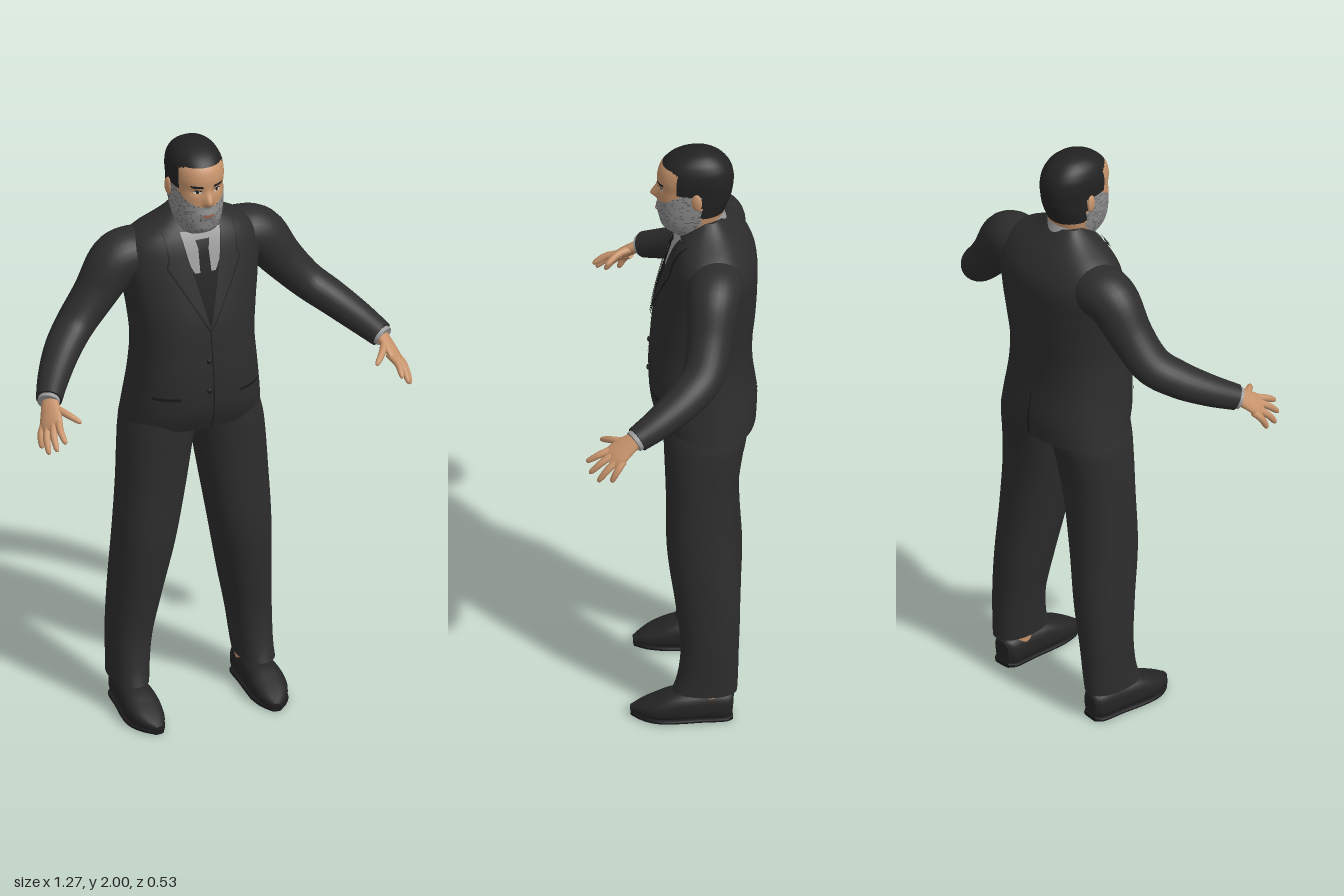
import * as THREE from 'three';

const paint = (name, color, side = THREE.FrontSide) => {
  const m = new THREE.MeshStandardMaterial({ color, side });
  m.name = name;
  return m;
};
const M = {
  suit: paint('suit cloth', 0x2d2d2e),
  dark: paint('dark trim', 0x1b1b1d),
  shoe: paint('shoe leather', 0x252526),
  hair: paint('hair', 0x222223),
  skin: paint('skin', 0xc8946c),
  beard: paint('grey beard', 0x8e8e8e),
  fleck: paint('beard flecks', 0x6c6c6c),
  shirt: paint('shirt', 0x9b9b9b, THREE.DoubleSide),
  eye: paint('eye white', 0xd8d4cc),
  lip: paint('lips', 0x9c6650),
};

// Smooth interpolation of table rows; the first column of each row is the parameter
const spline = rows => {
  const s = new THREE.CubicInterpolant(rows.map(r => r[0]), rows.flatMap(r => r.slice(1)), rows[0].length - 1);
  return t => Array.from(s.evaluate(t));
};

const sp = (v, n) => Math.sign(v) * Math.abs(v) ** (2 / n);

// Superelliptic ring around centre c with half axes u and v
function ring(c, u, v, n, count) {
  return Array.from({ length: count }, (_, j) => {
    const a = j / count * Math.PI * 2;
    return c.clone().addScaledVector(u, sp(Math.cos(a), n)).addScaledVector(v, sp(Math.sin(a), n));
  });
}

// Skin over a row of rings, with closed ends
function loft(rings, capped = true) {
  const N = rings[0].length;
  if (capped) {
    const mid = r => {
      const c = r.reduce((s, p) => s.add(p), new THREE.Vector3()).divideScalar(N);
      return r.map(() => c);
    };
    const a = rings[0], b = rings[rings.length - 1];
    rings = [mid(a), a, ...rings, b, mid(b)];
  }
  const index = [];
  for (let i = 0; i < rings.length - 1; i++) for (let j = 0; j < N; j++) {
    const a = i * N + j, b = i * N + (j + 1) % N;
    index.push(a, a + N, b, b, a + N, b + N);
  }
  const g = new THREE.BufferGeometry().setFromPoints(rings.flat());
  g.setIndex(index);
  g.computeVertexNormals();
  return g;
}

// Upright body from rows of y, xMin, xMax, zBack, zFront
function upright(rows, n, steps, count, bend) {
  const f = spline(rows), y0 = rows[0][0], y1 = rows[rows.length - 1][0];
  return loft(Array.from({ length: steps + 1 }, (_, i) => {
    const y = y0 + (y1 - y0) * i / steps, [xa, xb, za, zb] = f(y);
    const r = ring(new THREE.Vector3((xa + xb) / 2, y, (za + zb) / 2),
      new THREE.Vector3((xb - xa) / 2, 0, 0), new THREE.Vector3(0, 0, (zb - za) / 2), n, count);
    if (bend) r.forEach(p => { if (p.z > (za + zb) / 2) p.z += bend(p.x, p.y); });
    return r;
  }));
}

// Limb along rows of x, y, z, half width along w, half depth
function limb(rows, w, n = 2, steps = 20, count = 20) {
  const f = spline(rows.map((r, i) => [i, ...r])), end = rows.length - 1;
  const at = t => new THREE.Vector3(...f(t).slice(0, 3));
  return loft(Array.from({ length: steps + 1 }, (_, i) => {
    const t = end * i / steps, [, , , a, b] = f(t);
    const dir = at(Math.min(end, t + 0.05)).sub(at(Math.max(0, t - 0.05))).normalize();
    const u = new THREE.Vector3(...w).projectOnPlane(dir).normalize();
    const v = u.clone().cross(dir);
    return ring(at(t), u.multiplyScalar(a), v.multiplyScalar(b), n, count);
  }));
}

// Height of a body's front (dir 1) or back (dir -1) surface
function surface(rows, n, bend = () => 0) {
  const f = spline(rows);
  return (x, y, dir) => {
    const [xa, xb, za, zb] = f(y), t = Math.min(1, Math.abs(2 * x / (xb - xa)));
    return (za + zb) / 2 + dir * (zb - za) / 2 * (1 - t ** n) ** (1 / n) + (dir > 0 ? bend(x, y) : 0);
  };
}

// Thin plate laid on a surface, from rows of y, x0, x1
function panel(surf, rows, lift, dir = 1, cols = 8, steps = 24) {
  const pts = [], index = [], y0 = rows[0][0], y1 = rows[rows.length - 1][0];
  for (let i = 0; i <= steps; i++) {
    const y = y0 + (y1 - y0) * i / steps;
    let k = 0;
    while (k < rows.length - 2 && y > rows[k + 1][0]) k++;
    const t = (y - rows[k][0]) / (rows[k + 1][0] - rows[k][0]);
    const e = [1, 2].map(c => rows[k][c] + (rows[k + 1][c] - rows[k][c]) * t).sort((a, b) => (a - b) * dir);
    for (let j = 0; j <= cols; j++) {
      const x = e[0] + (e[1] - e[0]) * j / cols;
      pts.push(new THREE.Vector3(x, y, surf(x, y, dir) + dir * lift));
      if (i < steps && j < cols) {
        const a = i * (cols + 1) + j, c = a + cols + 1;
        index.push(a, a + 1, c, a + 1, c + 1, c);
      }
    }
  }
  const g = new THREE.BufferGeometry().setFromPoints(pts);
  g.setIndex(index);
  g.computeVertexNormals();
  return g;
}

export function createModel() {
  const model = new THREE.Group();
  model.name = 'man in suit';
  const add = (name, g, mat) => {
    const m = new THREE.Mesh(g, mat);
    m.name = name;
    model.add(m);
  };
  const pair = (name, g, mat) => {
    add('left ' + name, g, mat);
    const r = g.clone().scale(-1, 1, 1), ix = r.index.array;
    for (let i = 0; i < ix.length; i += 3) [ix[i], ix[i + 1]] = [ix[i + 1], ix[i]];
    add('right ' + name, r, mat);
  };

  // Jacket body
  const torso = [[1.015, .23, -.262, .04], [1.08, .22, -.264, .068], [1.2, .205, -.25, .08], [1.3, .197, -.25, .075],
    [1.4, .205, -.26, .065], [1.5, .22, -.265, .042], [1.6, .23, -.26, .015], [1.65, .215, -.238, 0],
    [1.685, .18, -.215, -.015], [1.71, .135, -.195, -.03], [1.74, .09, -.17, -.055], [1.76, .07, -.155, -.07],
  ].map(([y, r, b, f]) => [y, -r, r, b, f]);
  add('jacket', upright(torso, 2.4, 50, 56), M.suit);
  const chest = surface(torso, 2.4);

  // Shirt, tie and lapels
  add('shirt front', panel(chest, [[1.57, -.035, .035], [1.62, -.06, .06], [1.70, -.075, .075]], .004), M.shirt);
  add('waistcoat', panel(chest, [[1.39, -.002, .002], [1.575, -.05, .05]], .003), M.dark);
  add('tie', panel(chest, [[1.4, -.006, .006], [1.45, -.022, .022], [1.65, -.017, .017]], .007), M.dark);
  add('tie knot', panel(chest, [[1.635, -.014, .014], [1.675, -.024, .024]], .0095), M.dark);
  pair('lapel edge', panel(chest, [[1.38, 0, .006], [1.6, .05, .128], [1.615, .053, .116], [1.7, .068, .124]], .006), M.dark);
  pair('lapel', panel(chest, [[1.385, 0, .003], [1.603, .05, .124], [1.617, .054, .111], [1.703, .07, .12]], .009), M.suit);
  const band = (y, a, b) => ring(new THREE.Vector3(0, y, -.09), new THREE.Vector3(a, 0, 0), new THREE.Vector3(0, -.035, b), 2, 32);
  add('shirt collar', loft([band(1.695, .08, .082), band(1.74, .066, .068)], false), M.shirt);

  // Jacket seams, pockets, vent and buttons
  add('front edge', panel(chest, [[1.02, .01, .014], [1.39, -.002, .002]], .002, 1, 1), M.dark);
  pair('pocket', panel(chest, [[1.143, .1, .18], [1.153, .1, .18]], .003, 1, 8, 2), M.dark);
  add('back vent', panel(chest, [[1.02, -.004, .004], [1.17, -.002, .002]], .003, -1, 1), M.dark);
  for (const y of [1.17, 1.275]) {
    add('button', new THREE.SphereGeometry(.009, 12, 8).scale(1, 1, .5).translate(-.008, y, chest(0, y, 1) + .002), M.dark);
  }

  // Sleeves and hands
  pair('sleeve', limb([[.12, 1.61, -.13, .08, .07], [.19, 1.6, -.135, .09, .085], [.25, 1.578, -.13, .085, .085],
    [.32, 1.485, -.12, .072, .07], [.395, 1.4, -.1, .068, .06], [.46, 1.35, -.045, .062, .056],
    [.52, 1.305, .03, .052, .05], [.568, 1.268, .105, .042, .042]], [0, 0, 1], 2, 36, 28), M.suit);
  pair('shirt cuff', limb([[.555, 1.278, .085, .036, .036], [.574, 1.263, .115, .036, .034]], [0, 0, 1], 2, 2), M.shirt);
  const across = [-.045, .025, .05];
  pair('palm', limb([[.562, 1.272, .095, .024, .026], [.575, 1.25, .135, .034, .018],
    [.587, 1.222, .17, .04, .015], [.593, 1.205, .19, .033, .011]], across), M.skin);
  const fingers = {
    'index finger': [[.566, 1.232, .178], [.575, 1.188, .265]],
    'middle finger': [[.58, 1.225, .175], [.6, 1.16, .255]],
    'ring finger': [[.595, 1.212, .165], [.617, 1.14, .228]],
    'little finger': [[.602, 1.208, .148], [.624, 1.143, .185]],
    thumb: [[.565, 1.256, .14], [.505, 1.228, .222]],
  };
  for (const [name, [a, b]] of Object.entries(fingers)) {
    const rows = [[0, .013], [.5, .0115], [.85, .0095], [.97, .006], [1, .002]].map(([t, r]) => {
      const arch = .012 * Math.sin(t * Math.PI);
      return [a[0] + (b[0] - a[0]) * t + arch * .6, a[1] + (b[1] - a[1]) * t + arch * .6, a[2] + (b[2] - a[2]) * t, r, r];
    });
    pair(name, limb(rows, across, 2, 14, 12), M.skin);
  }

  // Trousers, ankles and shoes
  pair('trouser leg', upright([[.105, .155, .275, -.205, 0], [.14, .15, .274, -.207, -.012], [.25, .135, .275, -.21, -.026],
    [.4, .105, .27, -.214, -.01], [.6, .065, .262, -.205, .018], [.8, .028, .25, -.205, .022],
    [.95, .004, .24, -.225, .028], [1, -.005, .234, -.235, .03], [1.1, -.01, .205, -.225, .03]], 2.2, 40, 32), M.suit);
  pair('ankle', new THREE.CylinderGeometry(.046, .042, .08, 20).translate(.207, .09, -.12), M.skin);
  const shoe = [[.205, .05, -.19, .028, .042], [.207, .052, -.165, .045, .051], [.21, .052, -.09, .05, .052],
    [.213, .05, -.02, .057, .05], [.213, .038, .04, .058, .038], [.206, .026, .09, .043, .026], [.2, .016, .13, .014, .014]];
  pair('shoe', limb(shoe, [1, 0, 0], 2.6, 28, 28), M.shoe);
  pair('sole', limb(shoe.map(([x, , z, a]) => [x, .008, z, a + .002, .008]), [1, 0, 0], 4, 28, 24), M.dark);

  // Head and neck, with nose and eye sockets pressed into the front
  const skull = [[1.64, .058, -.15, -.035], [1.68, .056, -.148, -.03], [1.7, .057, -.148, .005], [1.72, .064, -.15, .034],
    [1.75, .074, -.153, .046], [1.79, .081, -.166, .05], [1.83, .084, -.181, .05], [1.87, .084, -.189, .05],
    [1.91, .086, -.19, .051], [1.95, .079, -.176, .034], [1.98, .058, -.145, -.005], [1.995, .03, -.112, -.048],
    [2, .006, -.085, -.075]].map(([y, r, b, f]) => [y, -r, r, b, f]);
  const bump = (x, y, cx, cy, sx, sy) => Math.exp(-(((x - cx) / sx) ** 2) - ((y - cy) / sy) ** 2);
  const relief = (x, y) => .024 * bump(x, y, 0, 1.832, .013, y > 1.832 ? .03 : .012)
    + .006 * bump(x, y, 0, 1.785, .03, .015) - .007 * bump(Math.abs(x), y, .033, 1.868, .018, .012);
  const head = upright(skull, 2.2, 84, 80, relief);
  const pos = head.attributes.position, ix = head.index.array;
  const tone = (x, y, z, k) => {
    if (y > 1.95 - Math.max(0, .01 - z) * .4 || (z < -.012 && y > 1.868) || (z < -.09 && y > 1.782)) return 1;
    const top = 1.814 + Math.max(0, .05 - z) * .7;
    if (y < top && y > 1.695 && z > -.088 - Math.min(0, y - 1.76) * .9) {
      return Math.abs(Math.sin(k * 12.9898) * 43758.5453) % 1 < .16 ? 3 : 2;
    }
    return 0;
  };
  const parts = [[], [], [], []];
  for (let i = 0; i < ix.length; i += 6) {
    const quad = ix.slice(i, i + 6), c = new THREE.Vector3();
    quad.forEach(v => c.add(new THREE.Vector3().fromBufferAttribute(pos, v)));
    c.divideScalar(6);
    parts[tone(c.x, c.y, c.z, i / 6)].push(...quad);
  }
  head.setIndex(parts.flat());
  let start = 0;
  parts.forEach((p, k) => { head.addGroup(start, p.length, k); start += p.length; });
  add('head', head, [M.skin, M.hair, M.beard, M.fleck]);
  pair('ear', new THREE.SphereGeometry(1, 16, 12).scale(.009, .03, .018).rotateY(-.3).translate(.085, 1.848, -.075), M.skin);

  // Face details
  const face = surface(skull, 2.2, relief);
  pair('eyebrow', panel(face, [[1.884, .016, .05], [1.893, .02, .056]], .003, 1, 8, 3), M.hair);
  pair('eye', panel(face, [[1.863, .026, .04], [1.868, .02, .046], [1.873, .026, .04]], .002, 1, 8, 6), M.eye);
  pair('iris', panel(face, [[1.864, .03, .036], [1.868, .028, .038], [1.873, .03, .036]], .003, 1, 4, 4), M.dark);
  pair('eyelid', panel(face, [[1.872, .02, .046], [1.876, .024, .042]], .003, 1, 6, 2), M.dark);
  add('mouth', panel(face, [[1.78, -.012, .012], [1.785, -.024, .024], [1.79, -.014, .014]], .003, 1, 8, 6), M.lip);
  return model;
}
